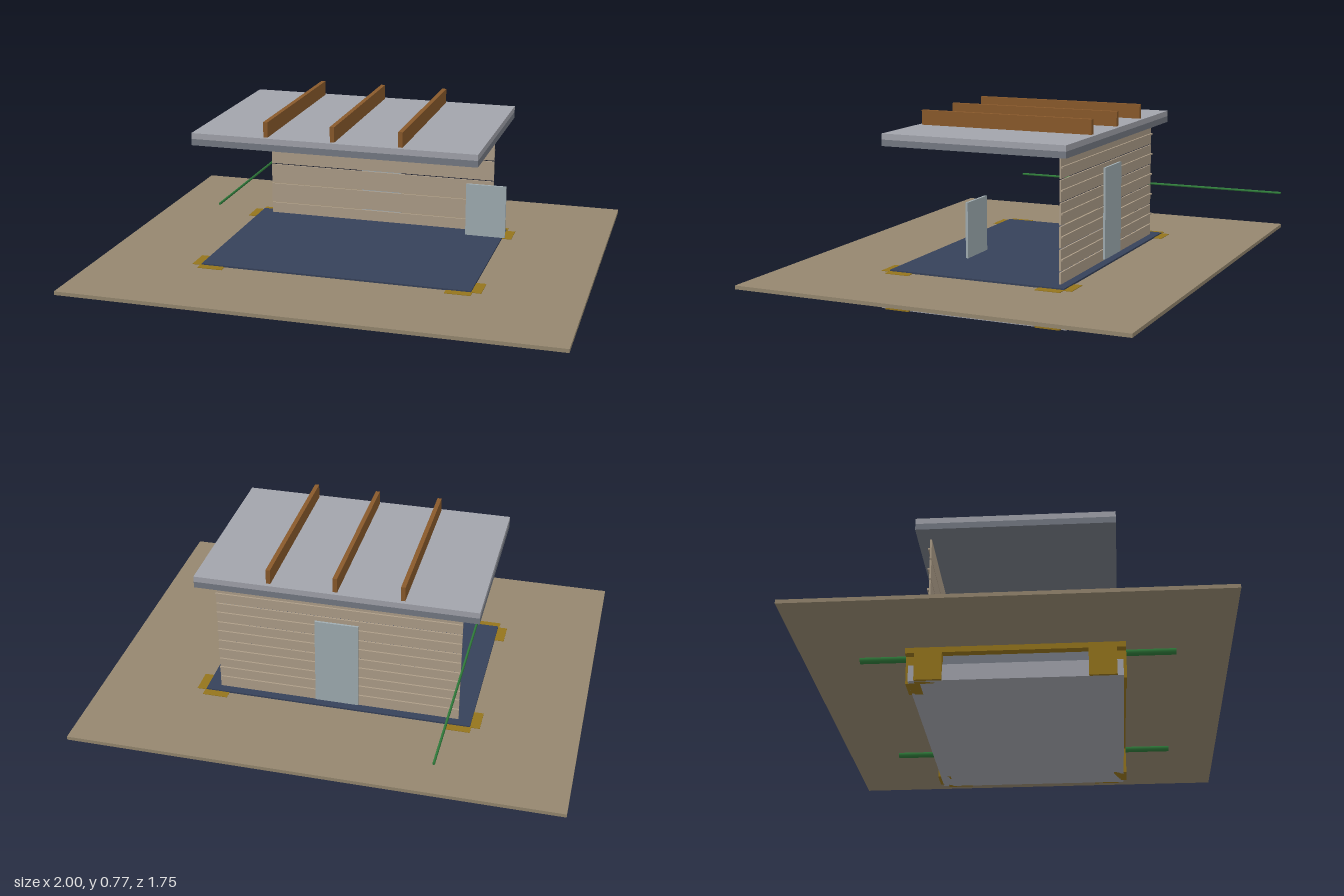
import * as THREE from 'three';

export function createModel() {
  const model = new THREE.Group();
  const mat = (color) => new THREE.MeshStandardMaterial({ color });
  const concrete = mat(0xa2a4ac), darkGrey = mat(0x757a84), gold = mat(0x94741c);
  const earth = mat(0x95876f), navy = mat(0x36415a), timber = mat(0xae9e89);
  const brown = mat(0x8a5a2b), green = mat(0x2f7a3a), glass = mat(0xa0adb2);

  // Box given by its lower and upper limits on each axis
  function box(name, material, [x0, x1], [y0, y1], [z0, z1], parent = model) {
    const mesh = new THREE.Mesh(new THREE.BoxGeometry(x1 - x0, y1 - y0, z1 - z0), material);
    mesh.position.set((x0 + x1) / 2, (y0 + y1) / 2, (z0 + z1) / 2);
    mesh.name = name;
    parent.add(mesh);
  }

  // Round bar running along z
  function bar(name, x, y, z0, z1, radius) {
    const geometry = new THREE.CylinderGeometry(radius, radius, z1 - z0, 16).rotateX(Math.PI / 2);
    const mesh = new THREE.Mesh(geometry, green);
    mesh.position.set(x, y, (z0 + z1) / 2);
    mesh.name = name;
    model.add(mesh);
  }

  // Ground and floor
  box('ground', earth, [-1, 1], [0.132, 0.147], [-0.76, 0.87]);
  box('floor', navy, [-0.56, 0.56], [0.147, 0.154], [-0.32, 0.44]);

  // Stepped foundation with a flange
  const foundation = new THREE.Group();
  foundation.name = 'foundation';
  foundation.position.z = 0.06;
  model.add(foundation);
  box('foundationBase', concrete, [-0.588, 0.588], [0, 0.065], [-0.403, 0.403], foundation);
  box('foundationStep', darkGrey, [-0.565, 0.565], [0.065, 0.11], [-0.38, 0.38], foundation);
  box('foundationFlange', gold, [-0.6, 0.6], [0.11, 0.132], [-0.415, 0.415], foundation);

  // Pair of pads at each corner, one on each face
  for (const sx of [-1, 1]) {
    for (const sz of [-1, 1]) {
      const span = (s, a, b) => (s > 0 ? [a, b] : [-b, -a]);
      box('endPad', gold, span(sx, 0.46, 0.565), [0, 0.149], span(sz, 0.36, 0.415), foundation);
      box('sidePad', gold, span(sx, 0.545, 0.6), [0, 0.149], span(sz, 0.275, 0.38), foundation);
    }
    // Drain pipes below the ground
    bar('drainPipe', sx * 0.512, 0.126, -0.54, 0.665, 0.014);
  }

  // Back wall: boards with narrow gaps and raised strips
  const wall = new THREE.Group();
  wall.name = 'backWall';
  model.add(wall);
  for (let y = 0.1155; y < 0.6; y += 0.09) {
    box('wallBoard', timber, [-0.506, 0.506], [Math.max(y, 0.154) - 0.0005 + 0.0005, y + 0.085], [-0.284, -0.277], wall);
    if (y > 0.154) box('wallStrip', timber, [-0.506, 0.506], [y + 0.04, y + 0.047], [-0.291, -0.284], wall);
  }

  // Door and window panels
  box('door', glass, [-0.09, 0.09], [0.165, 0.547], [-0.302, -0.293]);
  box('windowPanel', glass, [0.455, 0.62], [0.25, 0.468], [0.055, 0.065]);

  // Long rail beside the wall
  bar('rail', -0.51, 0.385, -0.875, 0.345, 0.005);

  // Two-layer roof with beams on top
  box('roofSoffit', darkGrey, [-0.577, 0.577], [0.657, 0.683], [-0.335, 0.455]);
  box('roofSlab', concrete, [-0.577, 0.577], [0.683, 0.707], [-0.335, 0.455]);
  for (const x of [-0.272, 0, 0.272]) {
    box('roofBeam', brown, [x - 0.009, x + 0.009], [0.7, 0.768], [-0.317, 0.437]);
  }
  return model;
}
